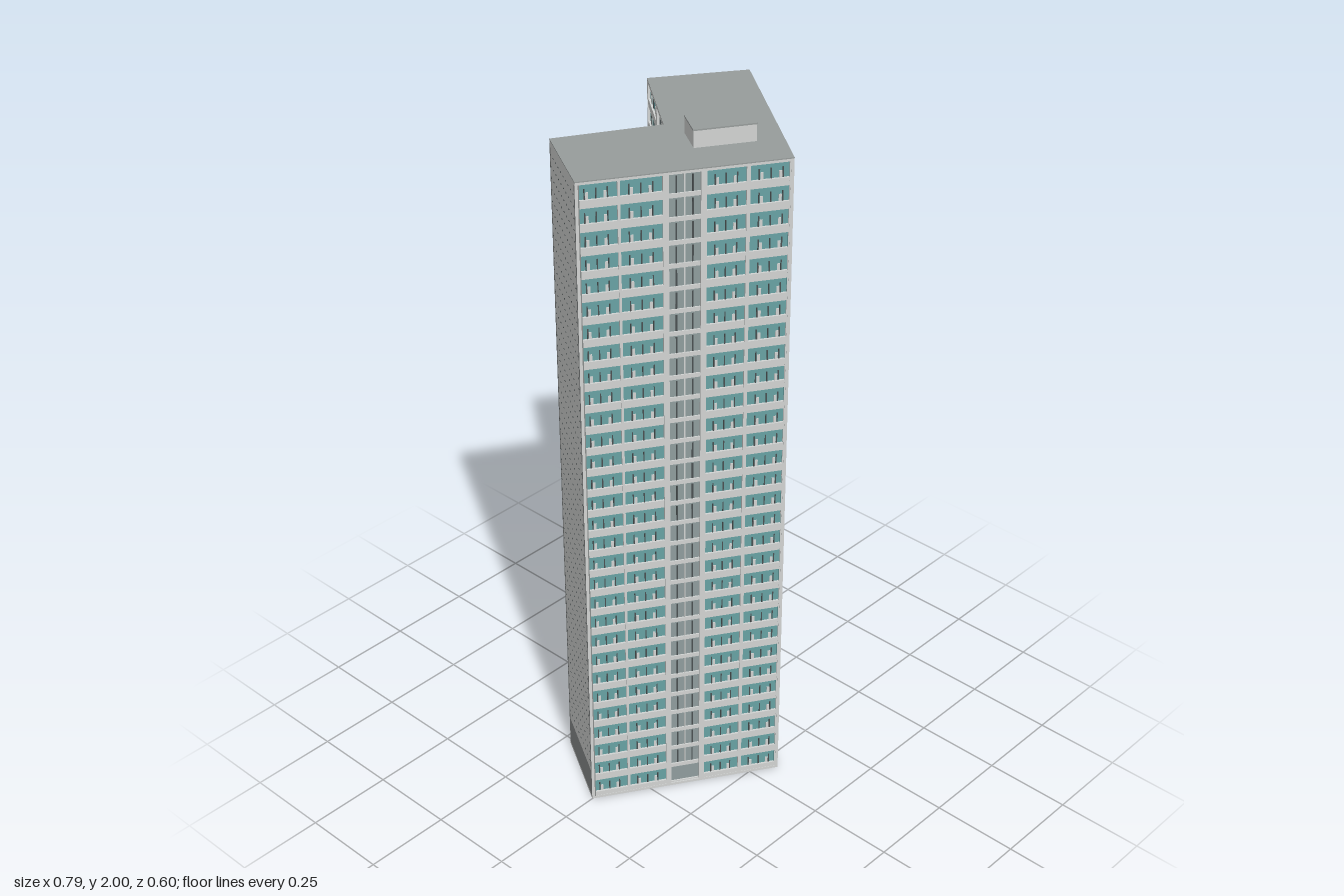
import * as THREE from 'three';
import { mergeGeometries } from 'three/addons/utils/BufferGeometryUtils.js';

const FLOORS = 30, TOP = 1.95, H = (TOP - 0.01) / FLOORS, INSET = 0.01;
const SILL = 0.022; // height of the spandrel band on each storey

// L-shaped footprint as [x, z], walked so that each wall faces outward
const PLAN = [[-0.395, 0], [0.07, 0.297], [0.395, -0.14], [0.17, -0.3], [-0.01, -0.07], [-0.265, -0.22]];

// Bays of each wall: [start, end, kind] as fractions of its length (w = windows, p = panels)
const WALLS = [
  ['frontLeftWall', [[0, 0.195, 'w'], [0.2, 0.4, 'w'], [0.42, 0.575, 'p'], [0.595, 0.785, 'w'], [0.795, 1, 'w']]],
  ['frontRightWall', [[0, 0.25, 'w'], [0.26, 0.5, 'w'], [0.53, 0.725, 'p'], [0.75, 1, 'w']]],
  ['rightEndWall', [[0, 0.48, 'w'], [0.52, 1, 'p']]],
  ['innerRightWall', [[0, 0.54, 'w'], [0.59, 1, 'p']]],
  ['innerLeftWall', [[0, 0.48, 'w'], [0.52, 1, 'p']]],
];

const mat = (name, color) => Object.assign(new THREE.MeshStandardMaterial({ color }), { name });

// Prism over the footprint, pulled inward by d
function prism(d, y0, y1) {
  const n = PLAN.length;
  const pts = PLAN.map((p, i) => {
    const a = PLAN[(i + n - 1) % n], b = PLAN[(i + 1) % n];
    const l1 = Math.hypot(p[0] - a[0], p[1] - a[1]), l2 = Math.hypot(b[0] - p[0], b[1] - p[1]);
    const n1 = [-(p[1] - a[1]) / l1, (p[0] - a[0]) / l1], n2 = [-(b[1] - p[1]) / l2, (b[0] - p[0]) / l2];
    const k = d / (1 + n1[0] * n2[0] + n1[1] * n2[1]);
    return new THREE.Vector2(p[0] - k * (n1[0] + n2[0]), -(p[1] - k * (n1[1] + n2[1])));
  });
  const g = new THREE.ExtrudeGeometry(new THREE.Shape(pts), { depth: y1 - y0, bevelEnabled: false });
  return g.rotateX(-Math.PI / 2).translate(0, y0, 0);
}

export function createModel() {
  const M = {
    wall: mat('light concrete', 0xd2d4d3),
    glass: mat('teal glass', 0x68a2a4),
    panel: mat('grey panel', 0x8f9d9e),
    roof: mat('grey roof', 0x979c9b),
    base: mat('dark grey base', 0x8a8d8c),
    dark: mat('dark frame', 0x4a5051),
  };
  const model = new THREE.Group();
  model.name = 'towerBlock';
  const add = (parent, name, geo, m) => {
    const mesh = new THREE.Mesh(geo, m);
    mesh.name = name;
    parent.add(mesh);
  };

  // Core, ground slab, top beam and roof slab
  add(model, 'core', prism(INSET, 0.002, TOP - 0.005), M.wall);
  add(model, 'baseSlab', prism(0, 0, 0.008), M.wall);
  add(model, 'topBeam', prism(0, TOP - 0.01, TOP - 0.003), M.wall);
  add(model, 'roofSlab', prism(0, TOP - 0.003, TOP), M.roof);

  // Group in which x runs along the wall and z = 0 is the wall's outer plane
  function wallFrame(i, name) {
    const a = PLAN[i], b = PLAN[(i + 1) % PLAN.length];
    const g = new THREE.Group();
    g.name = name;
    g.position.set(a[0], 0, a[1]);
    g.rotation.y = Math.atan2(-(b[1] - a[1]), b[0] - a[0]);
    model.add(g);
    return [g, Math.hypot(b[0] - a[0], b[1] - a[1])];
  }
  // Box from its sides; z runs from behind the core face to the given depth
  const box = (x0, x1, y0, y1, z) => {
    const back = -INSET - 0.001;
    return new THREE.BoxGeometry(x1 - x0, y1 - y0, z - back)
      .translate((x0 + x1) / 2, (y0 + y1) / 2, (z + back) / 2);
  };

  WALLS.forEach(([name, bays], i) => {
    const [g, L] = wallFrame(i, name);
    const wall = [], glass = [], panel = [], dark = [];

    // Piers between the bays and at the corners
    const pier = (x, w) => wall.push(box(x - w / 2, x + w / 2, 0.008, TOP - 0.01, 0));
    pier(0.004, 0.008);
    pier(L - 0.004, 0.008);
    for (let k = 1; k < bays.length; k++) {
      pier(((bays[k - 1][1] + bays[k][0]) / 2) * L, (bays[k][0] - bays[k - 1][1]) * L + 0.004);
    }

    for (let f = 0; f < FLOORS; f++) {
      const y = f * H;
      for (const [s, e, kind] of bays) {
        const x0 = s * L + 0.002, x1 = e * L - 0.002, w = x1 - x0;
        const at = (t) => x0 + t * w;
        if (kind === 'w') {
          // Spandrel, window strip, low white panels and mullions
          wall.push(box(x0, x1, Math.max(y, 0.008), y + SILL, -0.001));
          glass.push(box(x0, x1, y + SILL, y + H, -0.007));
          for (const t of [0.24, 0.68]) wall.push(box(at(t), at(t + 0.07), y + SILL, y + SILL + 0.019, -0.005));
          for (const t of [0.2, 0.48, 0.76]) dark.push(box(at(t), at(t + 0.03), y + SILL, y + H - 0.014, -0.005));
        } else {
          // Two large grey panels with a slim post; plain on the ground storey
          wall.push(box(x0, x1, Math.max(y, 0.008), y + 0.012, -0.003));
          panel.push(box(x0, x1, y + 0.012, y + H, -0.007));
          if (f === 0) continue;
          wall.push(box(at(0.48), at(0.52), y + 0.012, y + H, -0.004));
          for (const t of [0.22, 0.74]) dark.push(box(at(t), at(t + 0.05), y + 0.012, y + H - 0.006, -0.006));
        }
      }
    }
    add(g, 'spandrelsAndPiers', mergeGeometries(wall), M.wall);
    add(g, 'windows', mergeGeometries(glass), M.glass);
    add(g, 'mullions', mergeGeometries(dark), M.dark);
    if (panel.length) add(g, 'balconyPanels', mergeGeometries(panel), M.panel);
  });

  // Blank end wall with a grey base, grey edge strips and rows of small vents
  const [end, L] = wallFrame(5, 'blankEndWall');
  add(end, 'blankFace', box(0.008, L - 0.008, 0.1, TOP - 0.01, 0), M.wall);
  add(end, 'blankBase', box(0.008, L - 0.008, 0.008, 0.1, 0), M.base);
  for (const x of [0, L - 0.008]) add(end, 'edgeStrip', box(x, x + 0.008, 0.008, TOP - 0.01, 0), M.base);
  const vents = [];
  for (let y = 0.1 + H / 2; y < TOP - 0.03; y += H / 2) {
    for (let k = 0; k < 10; k++) {
      const x = ((k + 0.5) / 10) * L;
      vents.push(box(x - 0.003, x + 0.003, y, y + 0.0025, 0.001));
    }
  }
  add(end, 'vents', mergeGeometries(vents), M.dark);

  // Plant room on the roof, aligned with the front left wall
  const plant = new THREE.Group();
  plant.name = 'plantRoom';
  plant.position.set(0.032, TOP, 0.086);
  plant.rotation.y = Math.atan2(-0.297, 0.465);
  model.add(plant);
  add(plant, 'plantWalls', new THREE.BoxGeometry(0.162, 0.046, 0.09).translate(0, 0.023, 0), M.wall);
  add(plant, 'plantRoof', new THREE.BoxGeometry(0.165, 0.004, 0.092).translate(0, 0.048, 0), M.roof);
  return model;
}
